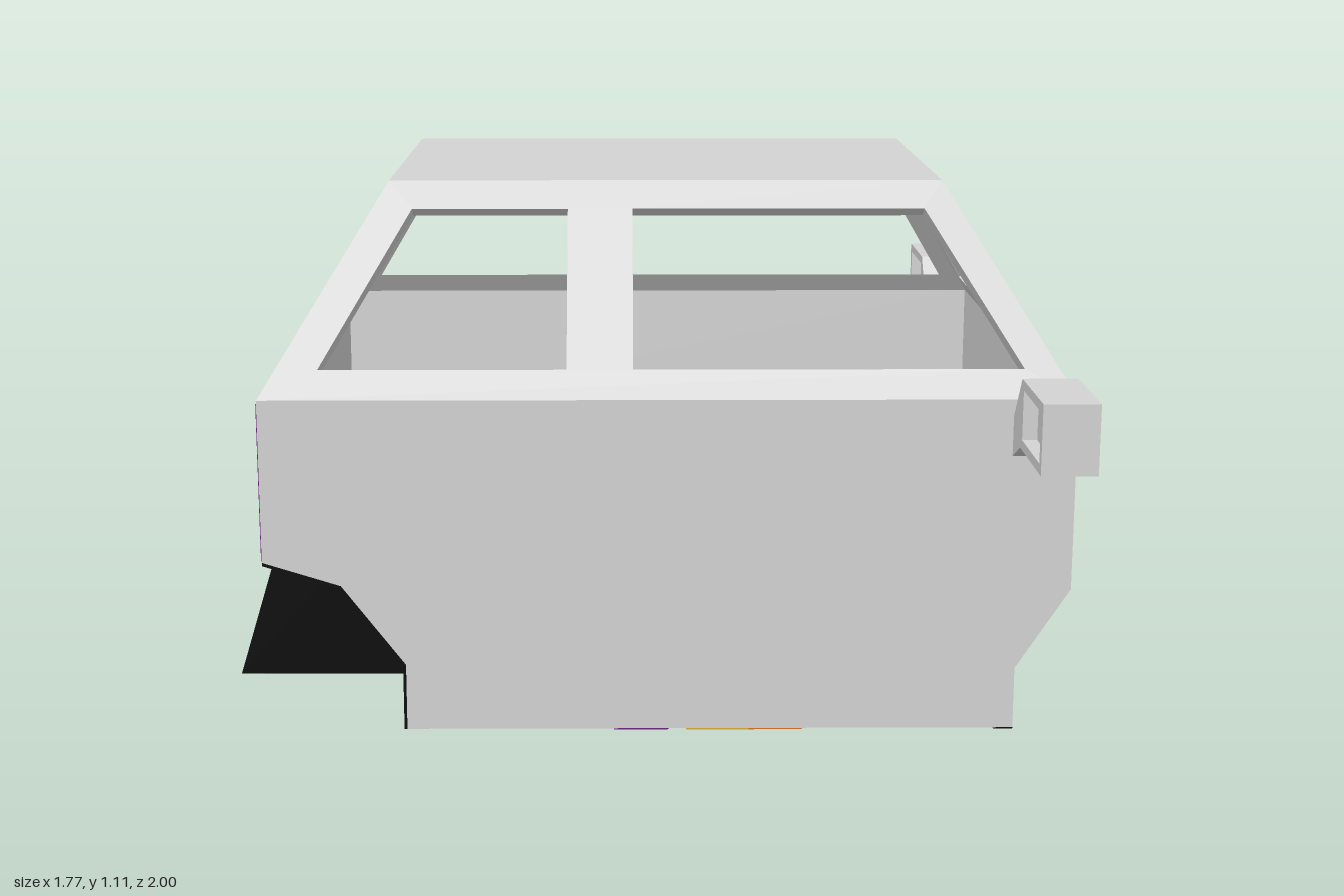
import * as THREE from 'three';

const mat = (name, color) => {
  const m = new THREE.MeshStandardMaterial({ color });
  m.name = name;
  return m;
};

export function createModel() {
  const group = new THREE.Group();
  const grey = mat('bodyGrey', 0xd4d4d4);
  const black = mat('black', 0x0c0c0c);
  const purple = mat('purple', 0x6a2480);
  const gold = mat('gold', 0xdcae38);
  const orange = mat('orange', 0xdc7226);

  const add = (name, geo, material, parent = group) => {
    const mesh = new THREE.Mesh(geo, material);
    mesh.name = name;
    parent.add(mesh);
    return mesh;
  };
  const toPath = (pts, Type = THREE.Shape) => new Type(pts.map(p => new THREE.Vector2(p[0], p[1])));
  const extrude = (pts, depth, holes = []) => {
    const shape = toPath(pts);
    shape.holes = holes.map(h => toPath(h, THREE.Path));
    return new THREE.ExtrudeGeometry(shape, { depth, bevelEnabled: false });
  };
  const box = (x0, x1, y0, y1, z0, z1) =>
    new THREE.BoxGeometry(x1 - x0, y1 - y0, z1 - z0).translate((x0 + x1) / 2, (y0 + y1) / 2, (z0 + z1) / 2);
  // (x, y) profile centred on z = 0
  const across = (pts, width) => extrude(pts, width).translate(0, 0, -width / 2);
  // (z, y) outline with its depth running toward -x
  const alongX = (pts, depth, x, holes) => extrude(pts, depth, holes).rotateY(-Math.PI / 2).translate(x, 0, 0);

  const BACK = -0.78, FRONT = 0.88, W = 0.69, FLOOR = 0.36, BELT = 0.70, ROOF = 1.11, T = 0.032;

  // Lower body; its top is the cabin floor
  add('lowerBody', across([[-0.49, 0], [0.77, 0], [0.77, 0.13], [FRONT, 0.30], [FRONT, FLOOR],
    [BACK, FLOOR], [-0.62, 0.31], [-0.49, 0.14]], 2 * W), grey);

  // Vertical walls up to the belt line
  for (const s of [1, -1]) {
    const a = s * W, b = s * (W - T);
    add('sideWall', box(BACK, FRONT, FLOOR, BELT, Math.min(a, b), Math.max(a, b)), grey);
  }
  add('frontWall', box(FRONT - T, FRONT, FLOOR, BELT, -W + T, W - T), grey);
  add('rearWall', box(BACK, BACK + T, FLOOR, BELT, -W + T, W - T), grey);

  // Leaning window walls: outlines given as (position along wall, height)
  const windowWall = (name, dir, dist, inset, outline, holes) => {
    const rise = ROOF - BELT, k = Math.hypot(rise, inset) / rise;
    const slant = pts => pts.map(([u, y]) => [u, (y - BELT) * k]);
    const up = new THREE.Vector3(0, 1, 0);
    const X = up.clone().cross(dir);
    const Y = up.clone().multiplyScalar(rise).addScaledVector(dir, -inset).normalize();
    const Z = X.clone().cross(Y);
    const m = new THREE.Matrix4().makeBasis(X, Y, Z).setPosition(dir.x * dist, BELT, dir.z * dist);
    const geo = extrude(slant(outline), T, holes.map(slant)).translate(0, 0, -T).applyMatrix4(m);
    add(name, geo, grey);
  };
  const sideOutline = [[BACK, BELT], [FRONT, BELT], [0.63, ROOF], [-0.53, ROOF]];
  const sideWindows = [
    [[-0.66, 0.755], [-0.155, 0.755], [-0.155, 1.055], [-0.48, 1.055]],
    [[-0.02, 0.755], [0.775, 0.755], [0.59, 1.055], [-0.02, 1.055]],
  ];
  for (const s of [1, -1]) {
    const flip = pts => pts.map(([u, y]) => [s * u, y]);
    windowWall('sideWindowFrame', new THREE.Vector3(0, 0, s), W, 0.28, flip(sideOutline), sideWindows.map(flip));
  }
  const endOutline = [[-W, BELT], [W, BELT], [0.41, ROOF], [-0.41, ROOF]];
  const endWindow = [[-0.575, 0.755], [0.575, 0.755], [0.37, 1.055], [-0.37, 1.055]];
  windowWall('windscreenFrame', new THREE.Vector3(1, 0, 0), FRONT, 0.25, endOutline, [endWindow]);
  windowWall('rearWindowFrame', new THREE.Vector3(-1, 0, 0), -BACK, 0.25, endOutline, [endWindow]);
  add('roof', box(-0.53, 0.63, ROOF - 0.03, ROOF, -0.41, 0.41), grey);

  // Rear block, narrower than the body, and the dark lining of the cut-away corner
  add('rearBlock', across([[-0.89, 0], [-0.49, 0], [-0.49, 0.14], [-0.62, 0.31], [BACK, FLOOR]], 0.69), black);
  add('rearBlockUnderside', box(-0.84, -0.49, -0.003, 0, -0.34, 0.34), grey);
  add('archLining', across([[BACK, FLOOR], [-0.62, 0.31], [-0.49, 0.14], [-0.49, 0],
    [-0.496, 0], [-0.496, 0.138], [-0.624, 0.304], [BACK, 0.353]], 2 * W), black);

  // Rear stripes: run under the belt line and turn down at one side
  const rearStripe = (name, material, y1, y2, z1, z2) =>
    add(name, alongX([[-W, y2], [z2, y2], [z2, FLOOR], [z1, FLOOR], [z1, y1], [-W, y1]], 0.003, BACK), material);
  rearStripe('rearPurpleStripe', purple, 0.69, 0.64, 0.68, 0.64);
  rearStripe('rearGoldStripe', gold, 0.615, 0.57, 0.62, 0.575);
  rearStripe('rearOrangeStripe', orange, 0.57, 0.52, 0.575, 0.525);

  // Underside stripes, outlined in (x, z)
  const underStripe = (name, material, pts) => add(name, extrude(pts, 0.003).rotateX(Math.PI / 2), material);
  underStripe('underPurpleStripe', purple, [[0.77, -0.62], [0.77, -0.47], [0.05, W], [-0.06, W]]);
  underStripe('underGoldStripe', gold, [[0.77, -0.43], [0.77, -0.27], [0.32, 0.47], [0.22, W], [0.09, W]]);
  underStripe('underOrangeStripe', orange, [[0.77, -0.27], [0.77, -0.14], [0.42, 0.44], [0.33, W], [0.22, W], [0.32, 0.47]]);
  underStripe('underBlackPatch', black, [[0.77, 0.31], [0.77, W], [0.73, W], [0.74, 0.33]]);

  // Mirrors: tapered stem, housing and recessed back
  for (const s of [1, -1]) {
    const mirror = new THREE.Group();
    mirror.name = s > 0 ? 'frontSideMirror' : 'backSideMirror';
    group.add(mirror);
    const stem = new THREE.BoxGeometry(1, 1, 1).toNonIndexed();
    const p = stem.attributes.position;
    for (let i = 0; i < p.count; i++) {
      const outer = p.getZ(i) * s > 0, top = p.getY(i) > 0, right = p.getX(i) > 0;
      p.setXYZ(i, right ? (outer ? 0.86 : 0.83) : 0.75,
        outer ? (top ? 0.76 : 0.62) : (top ? 0.66 : 0.58), s * (outer ? 0.77 : 0.685));
    }
    stem.computeVertexNormals();
    add('mirrorStem', stem, grey, mirror);
    const z0 = s > 0 ? 0.77 : -1, z1 = z0 + 0.23, e = 0.02;
    add('mirrorHousing', box(0.78, 0.86, 0.62, 0.76, z0, z1), grey, mirror);
    add('mirrorRim', alongX([[z0, 0.62], [z1, 0.62], [z1, 0.76], [z0, 0.76]], 0.03, 0.78,
      [[[z0 + e, 0.62 + e], [z1 - e, 0.62 + e], [z1 - e, 0.76 - e], [z0 + e, 0.76 - e]]]), grey, mirror);
  }
  return group;
}
